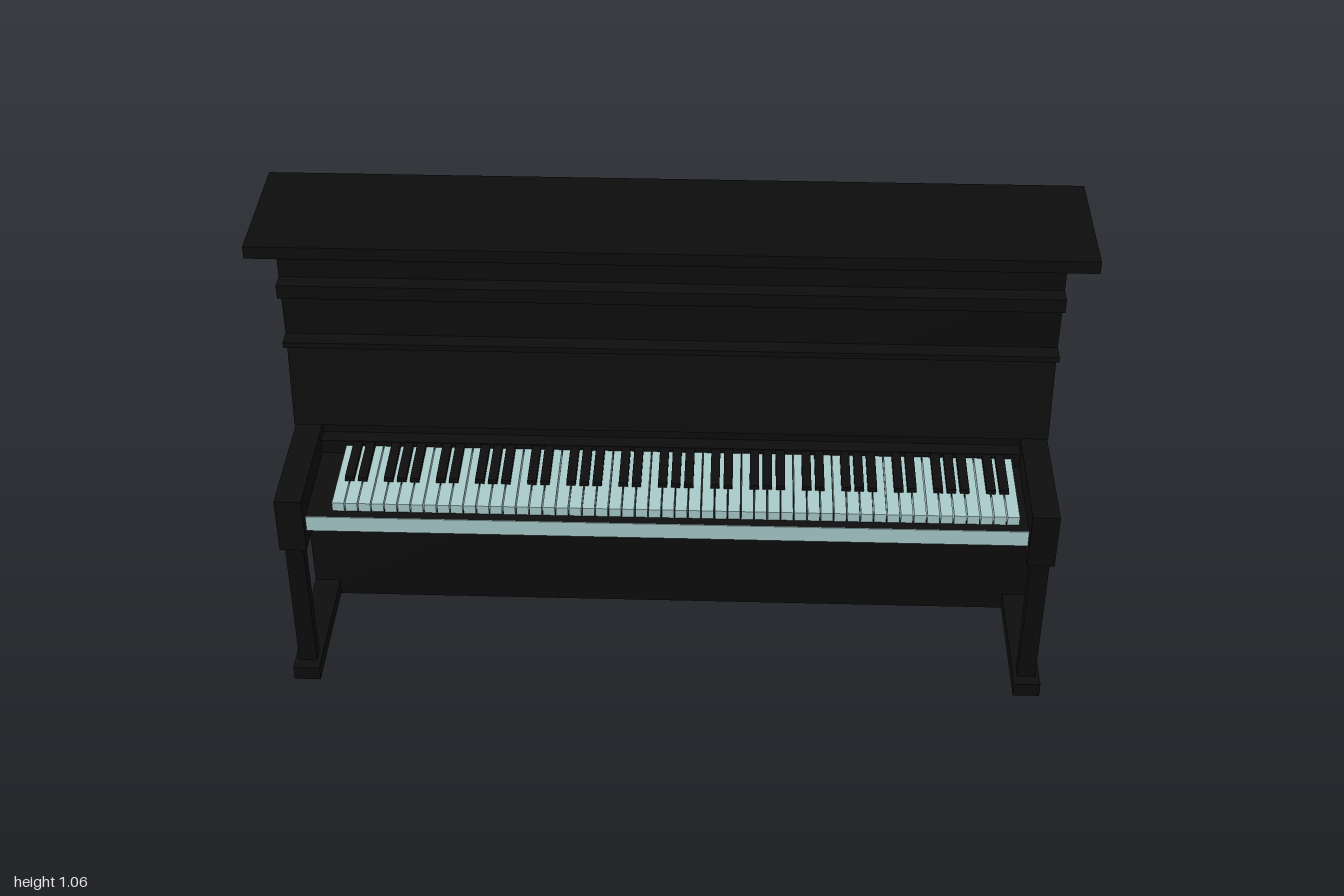
import * as THREE from 'three';

const black = new THREE.MeshStandardMaterial({ color: 0x0d0d0d });
black.name = 'black lacquer';
const ivory = new THREE.MeshStandardMaterial({ color: 0xaacccc });
ivory.name = 'pale ivory';

// Box given by its min and max corners
function box(name, [x0, y0, z0], [x1, y1, z1], material = black) {
  const mesh = new THREE.Mesh(new THREE.BoxGeometry(x1 - x0, y1 - y0, z1 - z0), material);
  mesh.position.set((x0 + x1) / 2, (y0 + y1) / 2, (z0 + z1) / 2);
  mesh.name = name;
  return mesh;
}

// Side profile of [z, y] points, extruded across the width
function profile(name, points, width) {
  const shape = new THREE.Shape(points.map(([z, y]) => new THREE.Vector2(z, y)));
  const geometry = new THREE.ExtrudeGeometry(shape, { depth: width, bevelEnabled: false });
  geometry.rotateY(-Math.PI / 2).translate(width / 2, 0, 0);
  const mesh = new THREE.Mesh(geometry, black);
  mesh.name = name;
  return mesh;
}

export function createModel() {
  const piano = new THREE.Group();
  piano.name = 'uprightPiano';
  const half = 0.925;

  // Case and lid
  piano.add(
    box('case', [-half, 0, -0.33], [half, 1.03, 0]),
    box('lid', [-1, 1.03, -0.342], [1, 1.062, 0.012])
  );

  // Upper front: rail, wedge-shaped music shelf and sloping panel
  piano.add(
    box('upperRail', [-half, 0.94, -0.005], [half, 0.975, 0.042]),
    profile('musicShelf', [[-0.005, 0.786], [0, 0.786], [0.042, 0.8], [0.042, 0.815], [-0.005, 0.815]], half * 2),
    profile('slopingPanel', [[-0.005, 0.56], [0.023, 0.56], [0, 0.786], [-0.005, 0.786]], half * 2)
  );

  // Arms, legs and feet on both sides
  for (const side of [1, -1]) {
    const support = new THREE.Group();
    support.name = side > 0 ? 'leftSupport' : 'rightSupport';
    support.add(
      box('arm', [-0.0325, 0.405, 0], [0.0325, 0.55, 0.322]),
      box('leg', [-0.022, 0.045, 0.278], [0.022, 0.405, 0.312]),
      box('foot', [-0.0325, 0.008, 0], [0.0325, 0.045, 0.342])
    );
    support.position.x = side * 0.8925;
    piano.add(support);
  }

  // Key bed with a pale front strip
  piano.add(
    box('keyBed', [-0.86, 0.445, 0], [0.86, 0.487, 0.294]),
    box('keySlip', [-0.86, 0.445, 0.294], [0.86, 0.487, 0.296], ivory)
  );

  // Keyboard: 52 white keys starting on C, black keys over the joints
  const keyboard = new THREE.Group();
  keyboard.name = 'keyboard';
  const count = 52, start = -0.8, pitch = 1.64 / count, gap = 0.0015;
  for (let i = 0; i < count; i++) {
    const x = start + i * pitch;
    keyboard.add(box('whiteKey', [x + gap, 0.487, 0], [x + pitch - gap, 0.51, 0.27], ivory));
    if ([0, 1, 3, 4, 5].includes(i % 7) && i < count - 1) {
      const joint = x + pitch;
      keyboard.add(box('blackKey', [joint - 0.011, 0.49, 0], [joint + 0.011, 0.522, 0.182]));
    }
  }
  piano.add(keyboard);

  // Black strip where the keys meet the case
  piano.add(box('keyStop', [-0.86, 0.487, 0], [0.86, 0.524, 0.038]));

  return piano;
}
